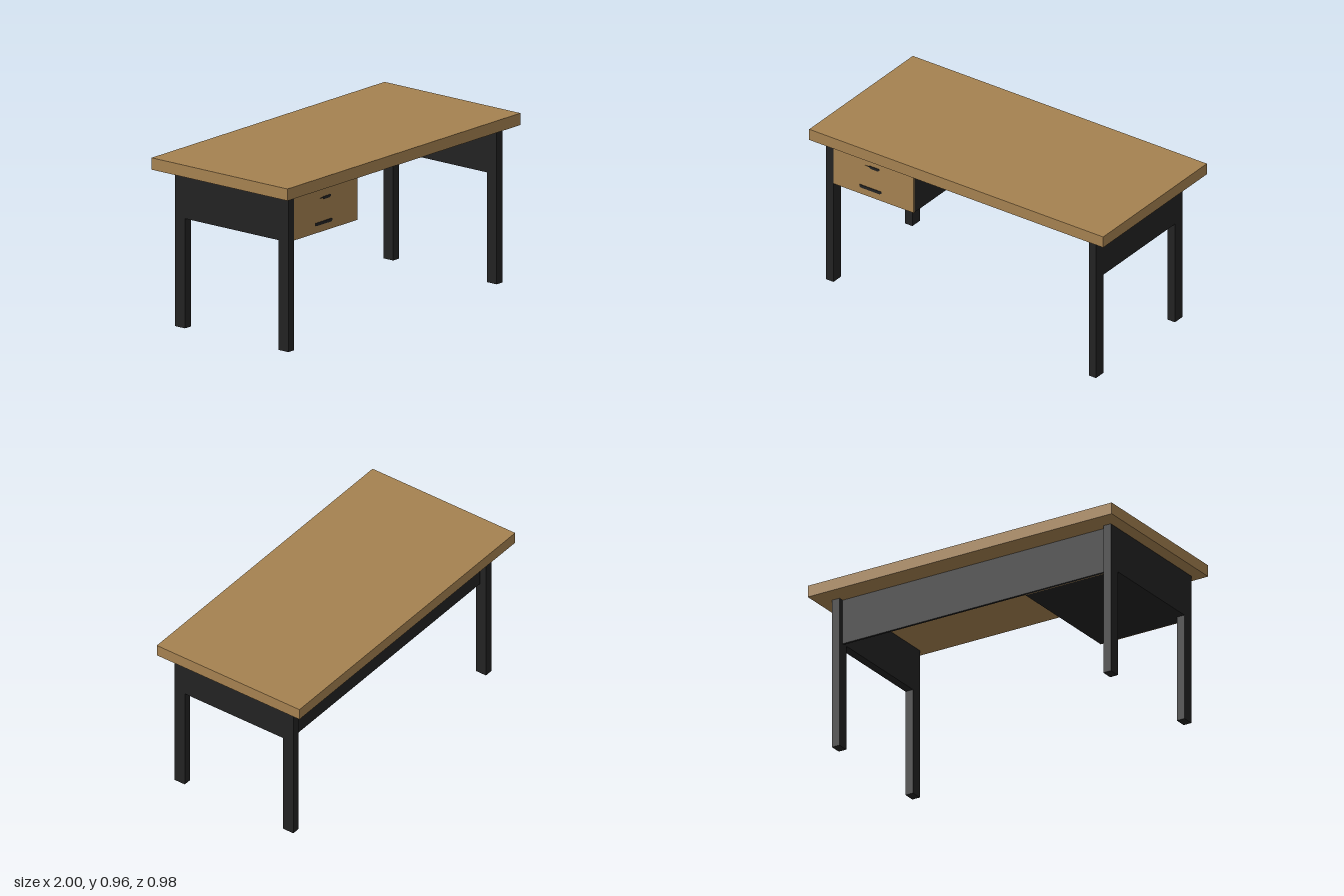
import * as THREE from 'three';

export function createModel() {
  const desk = new THREE.Group();
  desk.name = 'desk';
  const wood = new THREE.MeshStandardMaterial({ color: 0xa58150 });
  wood.name = 'wood';
  const dark = new THREE.MeshStandardMaterial({ color: 0x222222 });
  dark.name = 'dark metal';

  const add = (name, geometry, material) => {
    const mesh = new THREE.Mesh(geometry, material);
    mesh.name = name;
    desk.add(mesh);
    return mesh;
  };
  // Box given by its limits on each axis
  const box = (name, material, [x0, x1], [y0, y1], [z0, z1]) =>
    add(name, new THREE.BoxGeometry(x1 - x0, y1 - y0, z1 - z0), material)
      .position.set((x0 + x1) / 2, (y0 + y1) / 2, (z0 + z1) / 2);

  const under = 0.895, low = 0.63;

  box('tableTop', wood, [-1, 1], [under, 0.963], [-0.49, 0.49]);

  // Legs below a full-depth panel at each end
  const ends = { right: [-0.925, -0.875], left: [0.862, 0.911] };
  for (const [side, x] of Object.entries(ends)) {
    box(side + 'FrontLeg', dark, x, [0, low], [0.364, 0.434]);
    box(side + 'BackLeg', dark, x, [0, low], [-0.382, -0.312]);
    box(side + 'SidePanel', dark, x, [low, under], [-0.382, 0.434]);
  }

  // Back panel, set in from the back of the legs
  box('backPanel', dark, [-0.865, 0.862], [low, under], [-0.35, -0.335]);

  // Drawer case with wooden front and back faces
  const drawerX = [-0.875, -0.33];
  box('drawerCase', dark, drawerX, [low, under], [-0.33, 0.427]);
  box('drawerFront', wood, drawerX, [low, under], [0.427, 0.433]);
  box('drawerBack', wood, drawerX, [low, under], [-0.335, -0.33]);

  // Thin drawer pulls
  const pull = (name, points) => {
    const shape = new THREE.Shape(points.map(([x, y]) => new THREE.Vector2(x, y)));
    const geometry = new THREE.ExtrudeGeometry(shape, { depth: 0.004, bevelEnabled: false });
    add(name, geometry, dark).position.z = 0.432;
  };
  pull('upperPull', [[-0.66, 0.823], [-0.63, 0.821], [-0.62, 0.813], [-0.575, 0.813],
    [-0.562, 0.82], [-0.562, 0.829], [-0.625, 0.829], [-0.63, 0.826]]);
  pull('lowerPull', [[-0.697, 0.678], [-0.685, 0.671], [-0.56, 0.671],
    [-0.548, 0.678], [-0.548, 0.689], [-0.697, 0.689]]);

  return desk;
}
